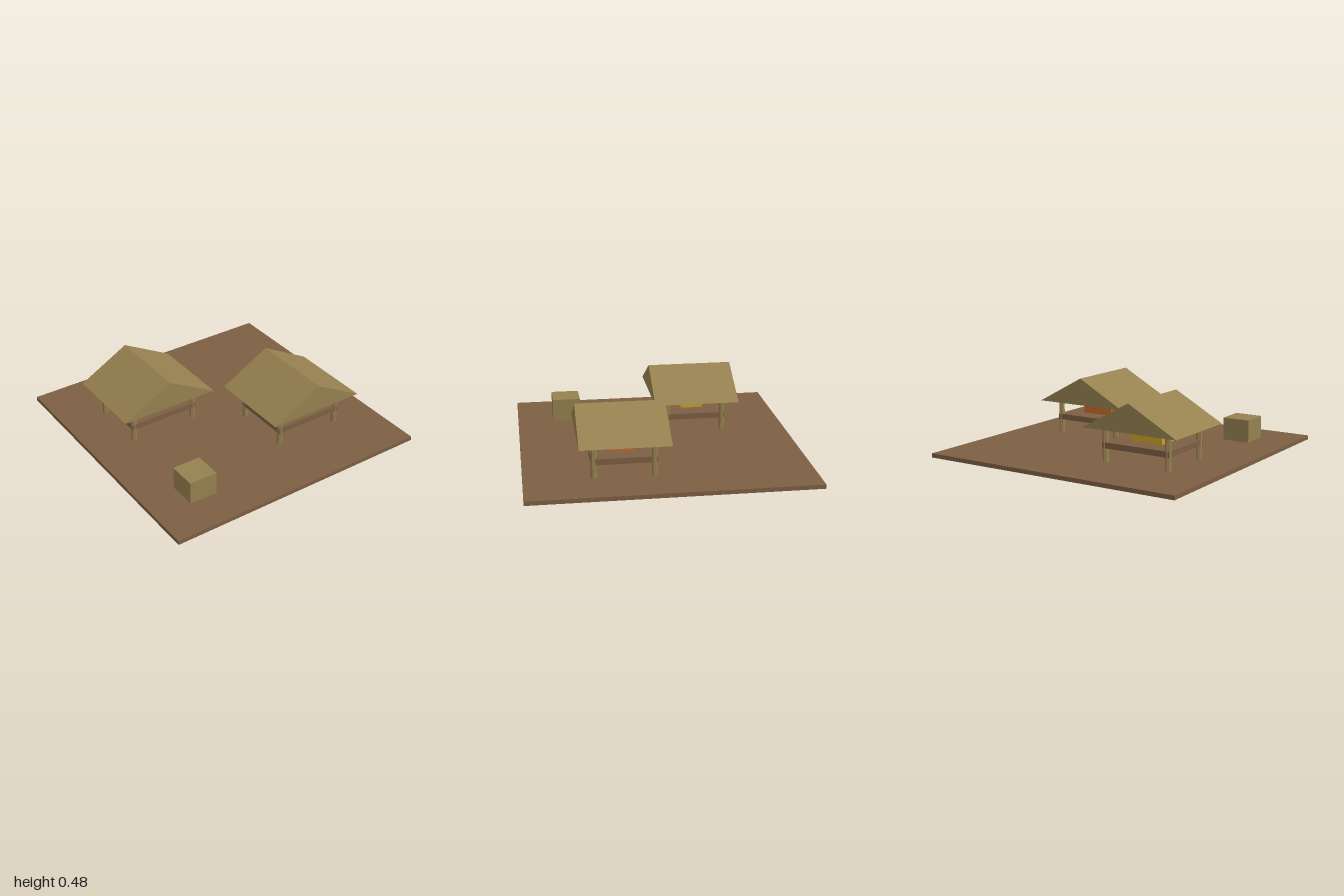
import * as THREE from 'three';

const mat = (name, color, flatShading = false) => {
  const m = new THREE.MeshStandardMaterial({ color, flatShading });
  m.name = name;
  return m;
};

export function createModel() {
  const earth = mat('earthBrown', 0x7d5f43);
  const straw = mat('strawThatch', 0x96814f, true);
  const orange = mat('orangeGoods', 0xc86a28);
  const yellow = mat('yellowGoods', 0xc9a227);

  const model = new THREE.Group();
  model.name = 'marketYard';

  const add = (parent, name, geometry, material, x, y, z) => {
    const mesh = new THREE.Mesh(geometry, material);
    mesh.name = name;
    mesh.position.set(x, y, z);
    parent.add(mesh);
    return mesh;
  };
  // Box placed by the height of its underside
  const box = (parent, name, material, w, h, d, x, bottom, z) =>
    add(parent, name, new THREE.BoxGeometry(w, h, d), material, x, bottom + h / 2, z);

  const groundTop = 0.03;
  box(model, 'ground', earth, 2, groundTop, 2, 0, 0, 0);

  // Solid gable roof with its ridge along z
  const gable = new THREE.Shape([
    new THREE.Vector2(-0.371, 0),
    new THREE.Vector2(0.371, 0),
    new THREE.Vector2(0, 0.204),
  ]);
  const roofGeometry = new THREE.ExtrudeGeometry(gable, { depth: 0.625, bevelEnabled: false });
  roofGeometry.translate(0, 0, -0.3125);

  const eaves = 0.276;
  const postGeometry = new THREE.CylinderGeometry(0.0208, 0.0208, eaves - groundTop, 6);

  const stall = (name, x, z, goods) => {
    const group = new THREE.Group();
    group.name = name;
    group.position.set(x, 0, z);
    for (const sx of [-1, 1]) for (const sz of [-1, 1])
      add(group, 'post', postGeometry, straw, sx * 0.25, (eaves + groundTop) / 2, sz * 0.208);
    box(group, 'counter', earth, 0.535, 0.042, 0.452, 0, 0.127, 0);
    box(group, 'goods', goods, 0.25, 0.083, 0.167, 0, 0.168, 0);
    add(group, 'roof', roofGeometry, straw, 0, eaves, 0);
    model.add(group);
  };
  stall('backRightStall', -0.417, -0.3125, yellow);
  stall('frontLeftStall', 0.417, 0.3125, orange);

  // Loose crate in the front corner
  box(model, 'crate', straw, 0.208, 0.168, 0.208, -0.627, groundTop, 0.627);

  return model;
}
